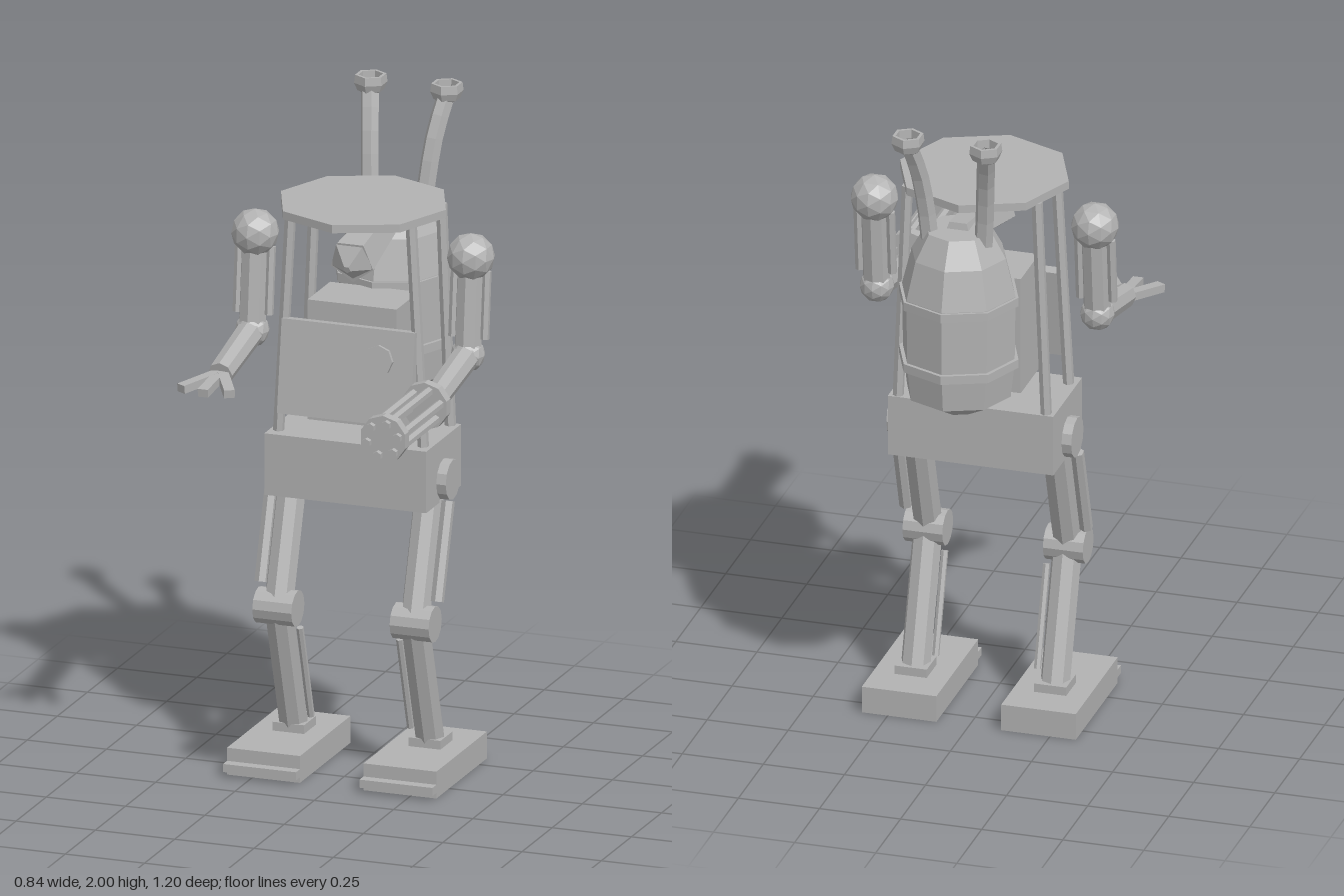
import * as THREE from 'three';

const steel = new THREE.MeshStandardMaterial({ color: 0xb2b2b2, flatShading: true, side: THREE.DoubleSide });
steel.name = 'steel grey';

const V = (x, y, z) => new THREE.Vector3(x, y, z);

function add(parent, name, geometry, x = 0, y = 0, z = 0) {
  const mesh = new THREE.Mesh(geometry, steel);
  mesh.name = name;
  mesh.position.set(x, y, z);
  parent.add(mesh);
  return mesh;
}

const box = (parent, name, w, h, d, x, y, z) => add(parent, name, new THREE.BoxGeometry(w, h, d), x, y, z);

// Straight rod from a to b, ra and rb being the end radii
function rod(parent, name, a, b, ra, rb = ra, sides = 8) {
  const dir = b.clone().sub(a);
  const mesh = add(parent, name, new THREE.CylinderGeometry(rb, ra, dir.length(), sides));
  mesh.position.copy(a).add(b).multiplyScalar(0.5);
  mesh.quaternion.setFromUnitVectors(V(0, 1, 0), dir.normalize());
  return mesh;
}

function lathe(parent, name, profile, sides, x, y, z) {
  const points = profile.map(([r, h]) => new THREE.Vector2(r, h));
  return add(parent, name, new THREE.LatheGeometry(points, sides), x, y, z);
}

function leg(side) {
  const g = new THREE.Group();
  g.name = side > 0 ? 'leftLeg' : 'rightLeg';
  const x = 0.215 * side;
  rod(g, 'hipJoint', V(0.2 * side, 0.905, -0.153), V(0.285 * side, 0.905, -0.153), 0.062, 0.062, 12);
  rod(g, 'thigh', V(x, 0.9, -0.15), V(x, 0.5, -0.022), 0.045);
  rod(g, 'thighPiston', V(0.278 * side, 0.845, -0.13), V(0.278 * side, 0.56, -0.04), 0.02, 0.02, 6);
  rod(g, 'knee', V(0.155 * side, 0.495, -0.022), V(0.278 * side, 0.495, -0.022), 0.055, 0.055, 12);
  rod(g, 'shin', V(x, 0.495, -0.022), V(x, 0.07, -0.155), 0.045);
  rod(g, 'shinPiston', V(0.157 * side, 0.43, -0.045), V(0.157 * side, 0.13, -0.137), 0.011, 0.011, 6);
  box(g, 'ankle', 0.1, 0.03, 0.1, x, 0.095, -0.15);
  box(g, 'foot', 0.23, 0.083, 0.42, x, 0.0415, -0.105);
  box(g, 'toePlate', 0.23, 0.025, 0.05, x, 0.03, 0.113);
  return g;
}

function arm(side) {
  const g = new THREE.Group();
  g.name = side > 0 ? 'leftArm' : 'rightArm';
  const x = 0.34 * side;
  const elbow = V(x, 1.305, -0.13);
  add(g, 'shoulder', new THREE.IcosahedronGeometry(0.072, 1), x, 1.6, -0.155);
  rod(g, 'upperArm', V(x, 1.58, -0.157), elbow, 0.042);
  for (const s of [-1, 1]) {
    rod(g, 'upperArmPiston', V(x + 0.05 * s, 1.56, -0.157), V(x + 0.05 * s, 1.355, -0.137), 0.014, 0.014, 6);
  }
  add(g, 'elbow', new THREE.IcosahedronGeometry(0.052, 1)).position.copy(elbow);
  rod(g, 'forearm', elbow, V(x, 1.245, side > 0 ? 0.15 : 0.135), 0.042, 0.038);
  return g;
}

// Three flat fingers spread from the wrist
function claw() {
  const g = new THREE.Group();
  g.name = 'clawHand';
  g.position.set(-0.34, 1.245, 0.12);
  for (const angle of [-0.5, 0, 0.5]) {
    const finger = new THREE.Group();
    finger.rotation.set(0.1, angle, 0, 'YXZ');
    box(finger, 'finger', 0.032, 0.025, 0.16, 0, 0, 0.08);
    g.add(finger);
  }
  return g;
}

// Six barrels held by two collars
function barrelCluster() {
  const g = new THREE.Group();
  g.name = 'barrelCluster';
  g.position.set(0.343, 1.253, 0);
  for (let i = 0; i < 6; i++) {
    const a = (i / 6) * Math.PI * 2 + 0.25;
    const x = Math.cos(a) * 0.05, y = Math.sin(a) * 0.05;
    rod(g, 'barrel', V(x, y, 0.19), V(x, y, 0.6), 0.014, 0.014, 6);
  }
  for (const z of [0.205, 0.55]) rod(g, 'barrelCollar', V(0, 0, z), V(0, 0, z + 0.033), 0.073, 0.073, 10);
  rod(g, 'wristSpindle', V(0, -0.01, 0.13), V(0, 0, 0.21), 0.02, 0.02, 6);
  return g;
}

export function createModel() {
  const model = new THREE.Group();
  model.name = 'walkingRobot';

  // Pelvis, torso and tilted chest plate
  box(model, 'pelvis', 0.51, 0.19, 0.29, 0, 0.935, -0.153);
  box(model, 'torso', 0.28, 0.37, 0.185, 0, 1.255, -0.157);
  const chest = new THREE.Group();
  chest.name = 'chest';
  chest.position.set(0, 1.243, -0.022);
  chest.rotation.x = -0.14;
  box(chest, 'chestPlate', 0.42, 0.285, 0.035, 0.003, 0, 0);
  rod(chest, 'chestKnob', V(0.105, 0.05, 0), V(0.105, 0.05, 0.03), 0.046, 0.046, 8);
  model.add(chest);

  // Canopy on four leaning posts
  add(model, 'canopy', new THREE.CylinderGeometry(0.26, 0.26, 0.025, 8), 0, 1.722, -0.158);
  for (const s of [-1, 1]) {
    rod(model, 'frontPost', V(0.228 * s, 1.03, -0.055), V(0.19 * s, 1.712, -0.055), 0.017, 0.017, 6);
    rod(model, 'rearPost', V(0.228 * s, 1.03, -0.28), V(0.2 * s, 1.712, -0.28), 0.017, 0.017, 6);
  }

  // Head, tilted down towards the front
  rod(model, 'head', V(0, 1.645, -0.43), V(0, 1.575, -0.06), 0.045, 0.07, 5);
  rod(model, 'snout', V(0, 1.575, -0.06), V(0, 1.56, -0.02), 0.07, 0.012, 5);

  // Back tank with two bands
  lathe(model, 'backTank', [[0, 1.08], [0.06, 1.08], [0.16, 1.135], [0.172, 1.24], [0.175, 1.46], [0.145, 1.58],
    [0.1, 1.66], [0, 1.66]], 8, 0, 0, -0.415);
  for (const y of [1.245, 1.445]) {
    add(model, 'tankBand', new THREE.CylinderGeometry(0.184, 0.184, 0.027, 8), 0, y, -0.415);
  }

  // Curved exhaust pipes with open hexagonal caps
  for (const s of [-1, 1]) {
    const path = new THREE.CatmullRomCurve3([V(0.08 * s, 1.58, -0.435), V(0.09 * s, 1.72, -0.448),
      V(0.103 * s, 1.86, -0.482), V(0.12 * s, 1.965, -0.53)]);
    add(model, 'exhaustPipe', new THREE.TubeGeometry(path, 6, 0.028, 6));
    lathe(model, 'exhaustCap', [[0.026, 1.945], [0.04, 1.952], [0.05, 1.975], [0.047, 2], [0.037, 2], [0.035, 1.96],
      [0, 1.96]], 6, 0.12 * s, 0, -0.535);
  }

  for (const s of [-1, 1]) model.add(leg(s), arm(s));
  model.add(claw(), barrelCluster());
  return model;
}
